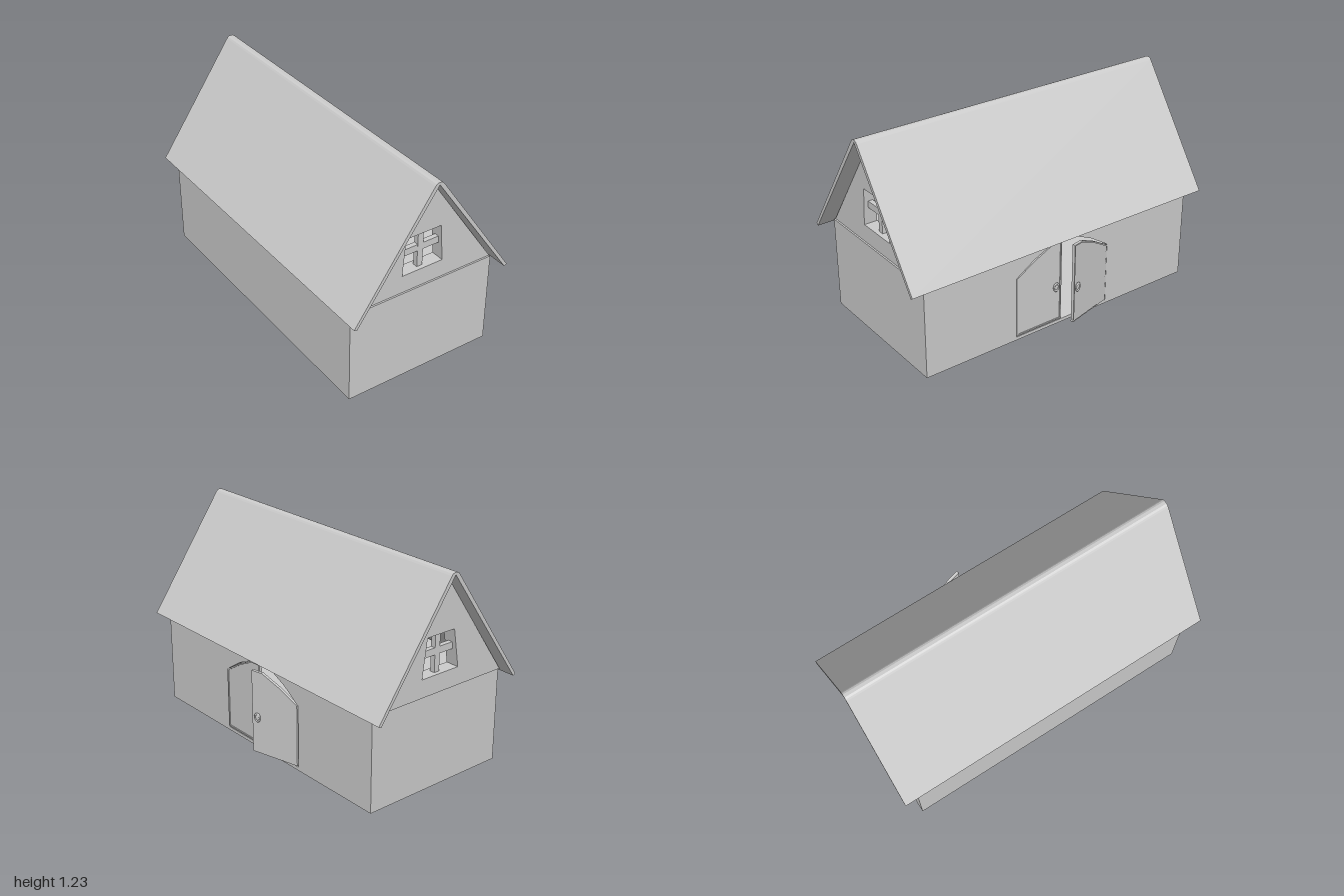
import * as THREE from 'three';

const material = new THREE.MeshStandardMaterial({ color: 0xcccccc, flatShading: true });
const smooth = new THREE.MeshStandardMaterial({ color: 0xcccccc });
const V = (points) => points.map(([x, y]) => new THREE.Vector2(x, y));

function add(parent, name, geometry, mat = material) {
  const mesh = new THREE.Mesh(geometry, mat);
  mesh.name = name;
  parent.add(mesh);
  return mesh;
}

// Box given by its lower and upper corners
function box(parent, name, a, b) {
  const mesh = add(parent, name, new THREE.BoxGeometry(b[0] - a[0], b[1] - a[1], b[2] - a[2]));
  mesh.position.set((a[0] + b[0]) / 2, (a[1] + b[1]) / 2, (a[2] + b[2]) / 2);
  return mesh;
}

// Outline with optional holes, pushed along z from z0 to z1
function slab(parent, name, outline, z0, z1, holes = []) {
  const shape = new THREE.Shape(V(outline));
  for (const hole of holes) shape.holes.push(new THREE.Path(V(hole)));
  const geometry = new THREE.ExtrudeGeometry(shape, { depth: z1 - z0, bevelEnabled: false });
  return add(parent, name, geometry.translate(0, 0, z0));
}

const L = -0.483, R = 0.437, MID = -0.023, EAVE = 0.556, END = 0.91;

function buildWalls(house) {
  const t = 0.04;
  box(house, 'frontWall', [L, 0, END - t], [R, EAVE, END]);
  box(house, 'backWall', [L, 0, -END], [R, EAVE, -END + t]);
  box(house, 'rightWall', [L, 0, -END + t], [L + t, EAVE, END - t]);
  box(house, 'floor', [L + t, 0, -END + t], [R - t, 0.02, END - t]);
  box(house, 'atticFloor', [L + t, EAVE - 0.03, -END + t], [R - t, EAVE, END - t]);

  // Wall with the arched doorway
  const w = END - t;
  const half = [[0.322, 0.02], [0.322, 0.393], [0.2, 0.472], [0.08, 0.526]];
  const doorway = [...half, ...half.map(([x, y]) => [-x, y]).reverse()];
  const wall = slab(house, 'doorWall', [[-w, 0], [w, 0], [w, EAVE], [-w, EAVE]], -t, 0, [doorway]);
  wall.rotation.y = Math.PI / 2;
  wall.position.x = R;
}

// Gable with a trapezoid window and its cross bars
function buildGable(house, name, z0, z1, topLeft, topRight) {
  const gable = new THREE.Group();
  gable.name = name;
  house.add(gable);
  const opening = [[-0.153, 0.661], [0.107, 0.661], [topRight, 0.884], [topLeft, 0.884]];
  slab(gable, name + 'Wall', [[L, EAVE], [R, EAVE], [MID, 1.222]], z0, z1, [opening]);
  const zc = (z0 + z1) / 2;
  box(gable, 'windowMullion', [-0.04, 0.655, zc - 0.015], [-0.005, 0.89, zc + 0.015]);
  box(gable, 'windowCrossbar', [-0.15, 0.76, zc - 0.014], [0.105, 0.8, zc + 0.014]);
}

// Folded roof with a rounded ridge
function buildRoof(house) {
  const side = [[0.499, 0.543], [0.028, 1.22], [0.02, 1.229], [0.009, 1.234]];
  const outline = [
    [0.483, 0.534], ...side, ...side.map(([x, y]) => [-x, y]).reverse(), [-0.483, 0.534], [0, 1.22],
  ].map(([x, y]) => [x + MID, y]);
  slab(house, 'roof', outline, -1, 1);
}

// Door leaf hinged at its local origin; dir is the way it runs along local x
function buildDoor(house, name, dir, z, angle) {
  const door = new THREE.Group();
  door.name = name;
  const leaf = [[0, 0.028], [0.308, 0.028], [0.308, 0.524], [0.235, 0.521], [0.12, 0.466], [0, 0.393]];
  const inner = [[0.008, 0.036], [0.3, 0.036], [0.3, 0.516], [0.237, 0.513], [0.124, 0.459], [0.008, 0.388]];
  const flip = (points) => points.map(([x, y]) => [x * dir, y]);
  slab(door, 'doorPanel', flip(leaf), -0.012, 0);
  slab(door, 'doorTrim', flip(leaf), 0, 0.005, [flip(inner)]);

  // Oval ring handle on its back plate
  const plate = add(door, 'handlePlate', new THREE.SphereGeometry(1, 20, 12), smooth);
  plate.scale.set(0.015, 0.021, 0.007);
  const ring = add(door, 'handleRing', new THREE.TorusGeometry(0.017, 0.005, 10, 28), smooth);
  ring.scale.y = 1.3;
  for (const part of [plate, ring]) part.position.set(0.273 * dir, 0.245, 0.003);
  ring.position.z = 0.006;

  door.position.set(R, 0, z);
  door.rotation.y = angle;
  house.add(door);
}

export function createModel() {
  const house = new THREE.Group();
  house.name = 'house';
  buildWalls(house);
  buildGable(house, 'frontGable', 0.82, 0.9, -0.136, 0.087);
  buildGable(house, 'backGable', -0.92, -0.84, -0.116, 0.077);
  buildRoof(house);
  buildDoor(house, 'closedDoor', 1, 0.32, Math.PI / 2);
  buildDoor(house, 'openDoor', -1, -0.315, Math.PI / 2 + 0.25);
  return house;
}
